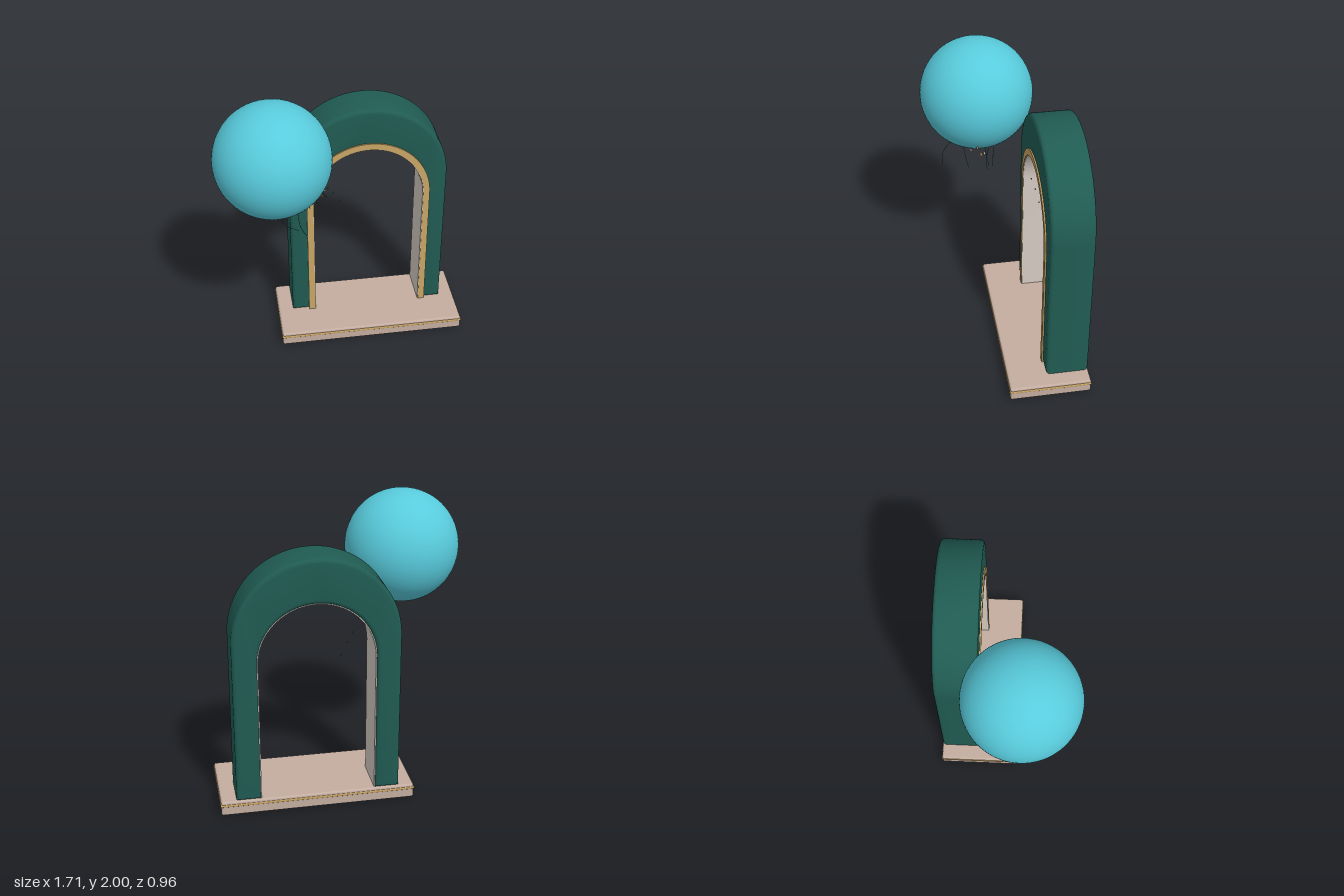
import * as THREE from 'three';
import { toCreasedNormals } from 'three/addons/utils/BufferGeometryUtils.js';
import { RoundedBoxGeometry } from 'three/addons/geometries/RoundedBoxGeometry.js';

const material = (name, color, side = THREE.FrontSide) => {
  const m = new THREE.MeshStandardMaterial({ color, side });
  m.name = name;
  return m;
};

const CX = 0.1975, FLOOR = 0.1;

// Upside-down U: each arch is given by its radius and spring height
function archShape(outerR, outerY, innerR, innerY) {
  const s = new THREE.Shape();
  s.moveTo(CX + outerR, FLOOR);
  s.lineTo(CX + outerR, outerY);
  s.absarc(CX, outerY, outerR, 0, Math.PI, false);
  s.lineTo(CX - outerR, FLOOR);
  s.lineTo(CX - innerR, FLOOR);
  s.lineTo(CX - innerR, innerY);
  s.absarc(CX, innerY, innerR, Math.PI, 0, true);
  s.lineTo(CX + innerR, FLOOR);
  s.closePath();
  return s;
}

// Extrude a shape between two depths, with the bevel kept inside the outline
function slab(shape, back, front, bevel = 0) {
  const geo = new THREE.ExtrudeGeometry(shape, {
    depth: front - back - 2 * bevel,
    bevelEnabled: bevel > 0,
    bevelSize: bevel,
    bevelThickness: bevel,
    bevelOffset: -bevel,
    bevelSegments: 4,
    curveSegments: 48,
  });
  geo.translate(0, 0, back + bevel);
  return toCreasedNormals(geo, 0.5);
}

export function createModel() {
  const group = new THREE.Group();
  const green = material('deep green', 0x205c53);
  const gold = material('gold', 0xc9a566);
  const stone = material('warm stone', 0xc4ada0);
  const cream = material('cream lining', 0xd6ccc3);
  const aqua = material('aqua', 0x58cbdc);

  const add = (name, geo, mat, x = 0, y = 0, z = 0) => {
    const mesh = new THREE.Mesh(geo, mat);
    mesh.name = name;
    mesh.position.set(x, y, z);
    group.add(mesh);
    return mesh;
  };

  // Plinth with gold band
  add('plinth', new RoundedBoxGeometry(1.305, 0.1, 0.55, 4, 0.014), stone, CX, 0.05, -0.205);
  add('plinthBand', new RoundedBoxGeometry(1.315, 0.02, 0.558, 3, 0.008), gold, CX, 0.072, -0.204);

  // Arch body, inner lining and front trim
  add('arch', slab(archShape(0.5475, 1.2, 0.386, 1.065), -0.48, -0.19, 0.026), green);
  add('archLining', slab(archShape(0.388, 1.065, 0.38, 1.065), -0.462, -0.184), cream);
  add('archTrim', slab(archShape(0.43, 1.065, 0.385, 1.065), -0.192, -0.18), gold);

  // Large ball
  add('ball', new THREE.SphereGeometry(0.382, 72, 48), aqua, -0.475, 1.618, 0.095);

  // Fine curved strands hanging below the ball
  const strands = [
    [[-0.455, 1.25, 0.2], [-0.41, 1.16, 0.19], [-0.33, 1.1, 0.175]],
    [[-0.345, 1.34, 0.28], [-0.33, 1.25, 0.35], [-0.29, 1.18, 0.36]],
    [[-0.29, 1.3, 0.07], [-0.28, 1.24, 0.06], [-0.235, 1.18, 0.05]],
    [[-0.22, 1.33, 0.05], [-0.2, 1.25, 0.07], [-0.16, 1.19, 0.07]],
    [[-0.18, 1.36, 0.02], [-0.16, 1.3, 0.03], [-0.12, 1.25, 0.04]],
  ];
  for (const pts of strands) {
    const curve = new THREE.CatmullRomCurve3(pts.map((p) => new THREE.Vector3(...p)));
    add('strand', new THREE.TubeGeometry(curve, 16, 0.002, 5), green);
  }

  // Small petals at the strand roots, and loose specks under the arch
  for (let i = 0; i < 5; i++) {
    const petal = add('petal', new THREE.SphereGeometry(0.014, 10, 6), i % 2 ? gold : stone,
      -0.225 + i * 0.02, 1.32 + 0.02 * (i % 3), 0.17 - i * 0.02);
    petal.scale.set(1, 0.35, 0.5);
    petal.rotation.z = i * 0.7;
  }
  for (const [x, y, z] of [[-0.08, 1.14, -0.22], [-0.04, 1.08, -0.24], [0.005, 1.0, -0.26]]) {
    add('speck', new THREE.SphereGeometry(0.005, 8, 6), green, x, y, z);
  }
  return group;
}
